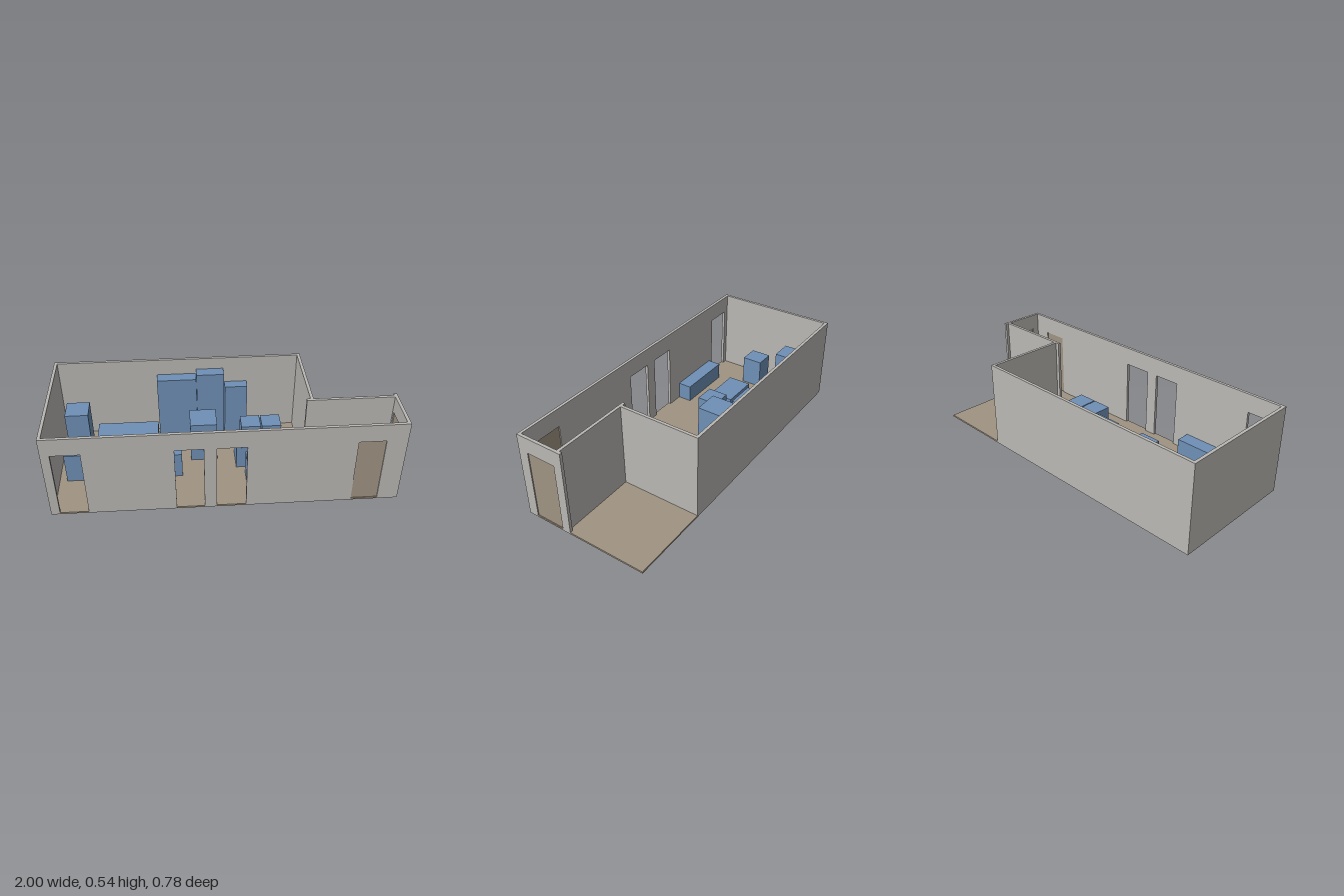
import * as THREE from 'three';

const material = (name, color) => Object.assign(new THREE.MeshStandardMaterial({ color }), { name });

export function createModel() {
  const wallGrey = material('wallGrey', 0xbab8b4);
  const floorBrown = material('floorBrown', 0xa09483);
  const furnitureBlue = material('furnitureBlue', 0x6f90b6);

  const model = new THREE.Group();
  model.name = 'apartment';
  const X = 1, Z = 0.388, H = 0.535, T = 0.018, FLOOR = 0.011, BASE = 0.0006;

  // Box given by its bounds on each axis
  function box(name, mat, x0, x1, y0, y1, z0, z1, parent = model) {
    const mesh = new THREE.Mesh(new THREE.BoxGeometry(x1 - x0, y1 - y0, z1 - z0), mat);
    mesh.position.set((x0 + x1) / 2, (y0 + y1) / 2, (z0 + z1) / 2);
    mesh.name = name;
    parent.add(mesh);
    return mesh;
  }

  // Wall slab along its own x axis, with doorways [start, end, top] cut up from the base
  function wallWithOpenings(name, start, end, openings) {
    const outline = new THREE.Shape();
    outline.moveTo(start, BASE);
    for (const [a, b, top] of openings) {
      outline.lineTo(a, BASE);
      outline.lineTo(a, top);
      outline.lineTo(b, top);
      outline.lineTo(b, BASE);
    }
    outline.lineTo(end, BASE);
    outline.lineTo(end, H);
    outline.lineTo(start, H);
    const geometry = new THREE.ExtrudeGeometry(outline, { depth: T, bevelEnabled: false });
    const mesh = new THREE.Mesh(geometry, wallGrey);
    mesh.name = name;
    model.add(mesh);
    return mesh;
  }

  // Floor slab, reaching under the open corner
  box('floor', floorBrown, -X + 0.0005, X - 0.0005, 0, FLOOR, -Z + 0.0005, Z - 0.0005);

  // Front wall with three open doorways and one closed door
  const front = wallWithOpenings('frontWall', -X, X, [
    [-0.95, -0.787, 0.425], [-0.285, -0.125, 0.425], [-0.055, 0.113, 0.425], [0.725, 0.88, 0.425],
  ]);
  front.position.z = Z - T;
  box('frontDoor', floorBrown, 0.725, 0.88, FLOOR, 0.425, Z - 0.012, Z - 0.006);

  // Right wall, shorter than the plan, with a closed door
  const right = wallWithOpenings('rightWall', -Z + T, -0.092, [[-0.327, -0.145, 0.438]]);
  right.rotation.y = Math.PI / 2;
  right.position.x = X - T;
  box('sideDoor', floorBrown, X - 0.012, X - 0.006, FLOOR, 0.438, 0.145, 0.327);

  // Plain walls and the two that frame the open corner
  box('leftWall', wallGrey, -X, -X + T, BASE, H, -Z, Z - T);
  box('backWall', wallGrey, -X + T, 0.515, BASE, H, -Z, -Z + T);
  box('cornerSideWall', wallGrey, 0.497, 0.515, BASE, H, -Z + T, 0.11);
  box('cornerFrontWall', wallGrey, 0.475, X - T, BASE, H, 0.11, 0.128);

  // Furniture blocks: name, x range, z range, top height
  const furniture = new THREE.Group();
  furniture.name = 'furniture';
  model.add(furniture);
  const blocks = [
    ['tallCabinetLeft', -0.38, -0.137, -0.37, -0.297, 0.43],
    ['tallCabinetMiddle', -0.135, 0.035, -0.37, -0.297, 0.46],
    ['tallCabinetRight', 0.042, 0.183, -0.37, -0.305, 0.36],
    ['sideCabinet', -0.942, -0.802, -0.27, -0.13, 0.312],
    ['armchair', -0.937, -0.812, -0.117, 0.012, 0.2],
    ['sofa', -0.76, -0.385, -0.26, -0.083, 0.15],
    ['coffeeTable', -0.69, -0.452, 0, 0.15, 0.09],
    ['lowCabinet', -0.755, -0.388, 0.283, 0.37, 0.12],
    ['stool', -0.365, -0.257, -0.102, -0.022, 0.09],
    ['chair', -0.375, -0.245, -0.012, 0.117, 0.175],
    ['counter', -0.188, -0.026, -0.19, -0.028, 0.276],
    ['diningTable', 0.085, 0.435, -0.113, 0.06, 0.16],
  ];
  blocks[4][3] = -0.012; // armchair stands just forward of the room's middle
  blocks[4][4] = 0.117;
  for (const [name, x0, x1, z0, z1, top] of blocks) {
    box(name, furnitureBlue, x0, x1, FLOOR, top, z0, z1, furniture);
  }

  // Two dining chairs on each long side of the table
  for (const [z0, z1] of [[-0.258, -0.14], [0.103, 0.222]]) {
    for (const x0 of [0.135, 0.264]) {
      box('diningChair', furnitureBlue, x0, x0 + 0.122, FLOOR, 0.165, z0, z1, furniture);
    }
  }

  return model;
}
